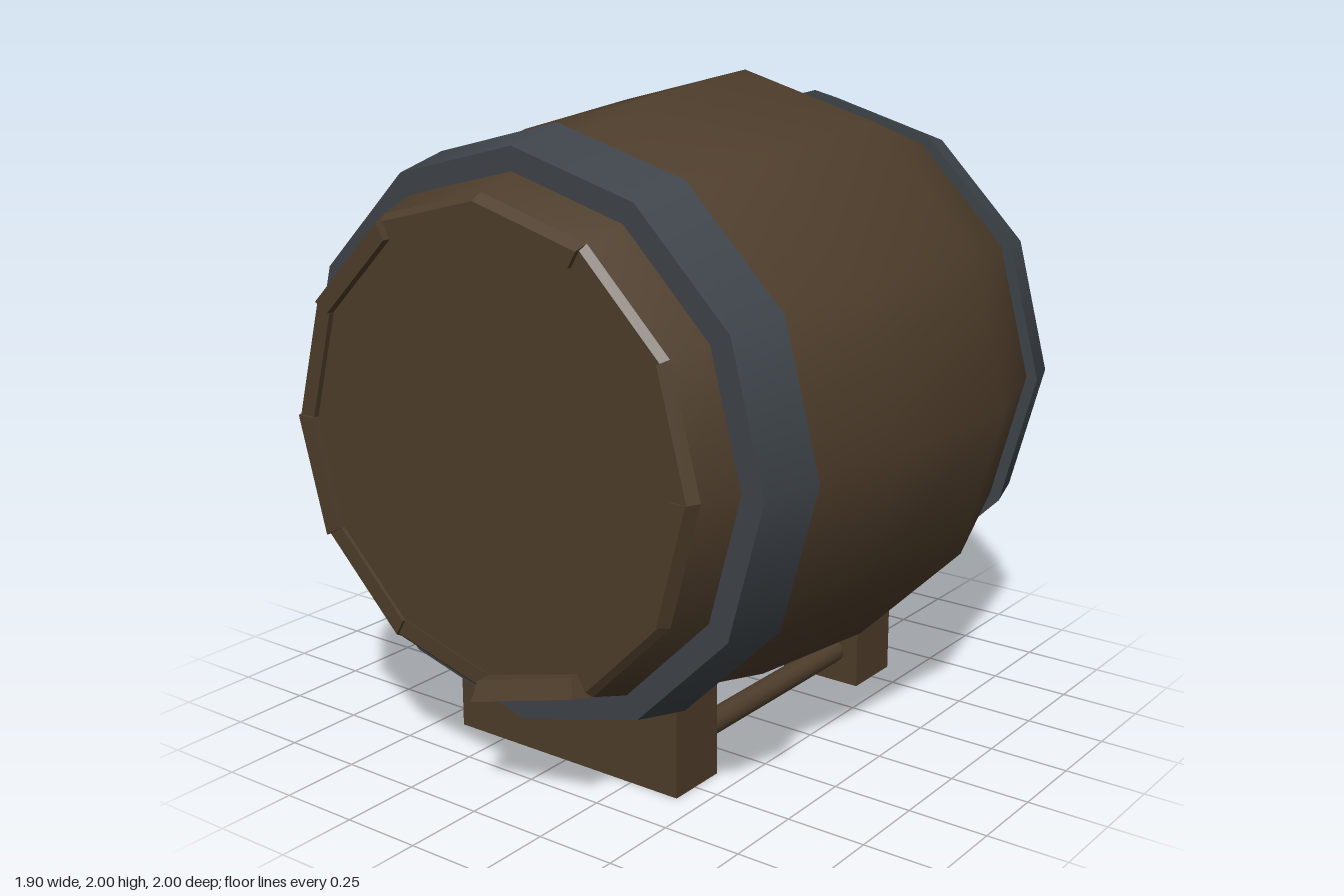
import * as THREE from 'three';

const SIDES = 12, AXIS_Y = 1.05;

export function createModel() {
  const wood = new THREE.MeshStandardMaterial({ color: 0x4e3d2b });
  wood.name = 'dark wood';
  const iron = new THREE.MeshStandardMaterial({ color: 0x3e444a });
  iron.name = 'blue grey iron';

  const model = new THREE.Group();
  model.name = 'barrelOnStand';

  const add = (name, geometry, material, x = 0, y = 0, z = 0) => {
    const mesh = new THREE.Mesh(geometry, material);
    mesh.name = name;
    mesh.position.set(x, y, z);
    model.add(mesh);
  };

  // Turned twelve-sided surface along z from [radius, z] points
  const turn = (name, points, material, y = AXIS_Y) => {
    const geo = new THREE.LatheGeometry(points.map(p => new THREE.Vector2(...p)), SIDES);
    geo.rotateX(Math.PI / 2);
    add(name, geo, material, 0, y, 0);
  };
  // Same, with a hard edge at every profile point
  const turnSharp = (name, points, material, y) => {
    for (let i = 0; i + 1 < points.length; i++) turn(name, [points[i], points[i + 1]], material, y);
  };

  // Bulging body
  turn('barrelBody', [[0.71, -1], [0.815, -0.74], [0.951, -0.33], [0.907, 0.2],
    [0.825, 0.58], [0.765, 0.79], [0.73, 0.9]], wood);

  // Flat front head, and back rim with its recessed head
  turnSharp('frontHead', [[0.66, 0.9], [0.66, 0.918], [0, 0.918]], wood);
  turnSharp('backRim', [[0.66, -0.867], [0.665, -1], [0.71, -1]], wood);
  turn('backHead', [[0, -0.867], [0.662, -0.867]], wood);

  // Uneven stave ends around the front head, clockwise from the top
  const ends = [0.935, 0.92, 0.935, 0.94, 0.92, 1, 0.92, 0.93, 0.945, 0.935, 0.945, 0.92];
  ends.forEach((end, i) => {
    const a = i * Math.PI / 6, b = a + Math.PI / 6;
    const corner = (r, t) => new THREE.Vector2(r * Math.sin(t), r * Math.cos(t));
    const shape = new THREE.Shape([corner(0.655, a), corner(0.71, a), corner(0.71, b), corner(0.655, b)]);
    const geo = new THREE.ExtrudeGeometry(shape, { depth: end - 0.9, bevelEnabled: false });
    const p = geo.attributes.position;
    for (let k = 0; k < p.count; k++) {
      const x = p.getX(k), y = p.getY(k), z = p.getZ(k);
      const inner = Math.hypot(x, y) < 0.68;
      // the foot flares out to meet the body
      if (z < 0.001 && !inner) p.setXY(k, x * 0.73 / 0.71, y * 0.73 / 0.71);
      // the long bottom stave is cut at a slant
      if (z > 0.001 && end === 1) p.setZ(k, z - 0.07 * x - (inner ? 0.03 : 0));
    }
    geo.computeVertexNormals();
    add('staveEnd', geo, wood, 0, AXIS_Y, 0.9);
  });

  // Tapered iron hoops
  turnSharp('frontHoop', [[0.81, 0.58], [0.885, 0.58], [0.842, 0.775], [0.74, 0.775]], iron, 1.047);
  turnSharp('backHoop', [[0.74, -0.867], [0.817, -0.867], [0.853, -0.737], [0.8, -0.737]], iron, 1.047);

  // Stand: two blocks joined by two rods
  add('frontBlock', new THREE.BoxGeometry(0.84, 0.335, 0.2), wood, 0, 0.1675, 0.49);
  add('backBlock', new THREE.BoxGeometry(0.84, 0.3, 0.2), wood, 0, 0.15, -0.5);
  for (const side of [-1, 1]) {
    const rod = new THREE.CylinderGeometry(0.038, 0.038, 0.84, 12);
    rod.rotateX(Math.PI / 2);
    add('standRod', rod, wood, side * 0.33, 0.105, 0);
  }
  return model;
}
